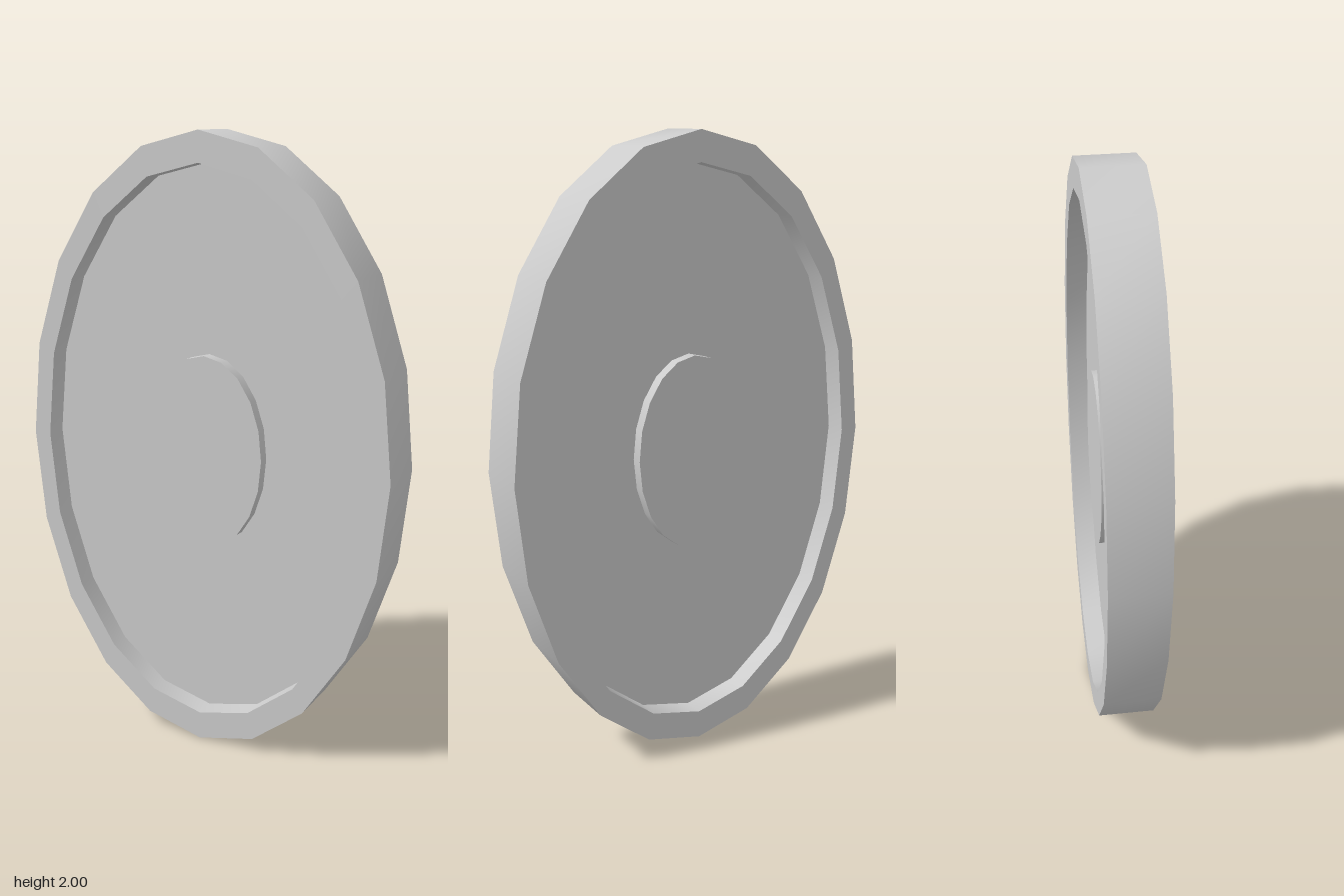
import * as THREE from 'three';
import { toCreasedNormals } from 'three/addons/utils/BufferGeometryUtils.js';

const SIDES = 20;
const WIDTH_RATIO = 0.643; // ellipse width over height

export function createModel() {
  const model = new THREE.Group();
  model.name = 'ovalWheel';
  const material = new THREE.MeshStandardMaterial({ color: 0xcccccc });

  // Stand a round part upright, squash it to an oval and lift it to the hub height
  function addOval(name, geometry) {
    geometry.rotateX(Math.PI / 2);
    geometry.scale(WIDTH_RATIO, 1, 1);
    const mesh = new THREE.Mesh(toCreasedNormals(geometry, 0.7), material);
    mesh.name = name;
    mesh.position.y = 1;
    model.add(mesh);
  }

  // Raised outer rim: a rectangular section turned around the axis
  const outer = 1, inner = 0.905, half = 0.093;
  const section = [
    [outer, -half], [outer, half], [inner, half], [inner, -half], [outer, -half],
  ].map(([r, y]) => new THREE.Vector2(r, y));
  addOval('rim', new THREE.LatheGeometry(section, SIDES));

  // Thin recessed disc inside the rim
  addOval('web', new THREE.CylinderGeometry(inner, inner, 0.046, SIDES));

  // Central boss, standing out on both faces
  addOval('hub', new THREE.CylinderGeometry(0.317, 0.317, 0.12, SIDES));

  return model;
}
